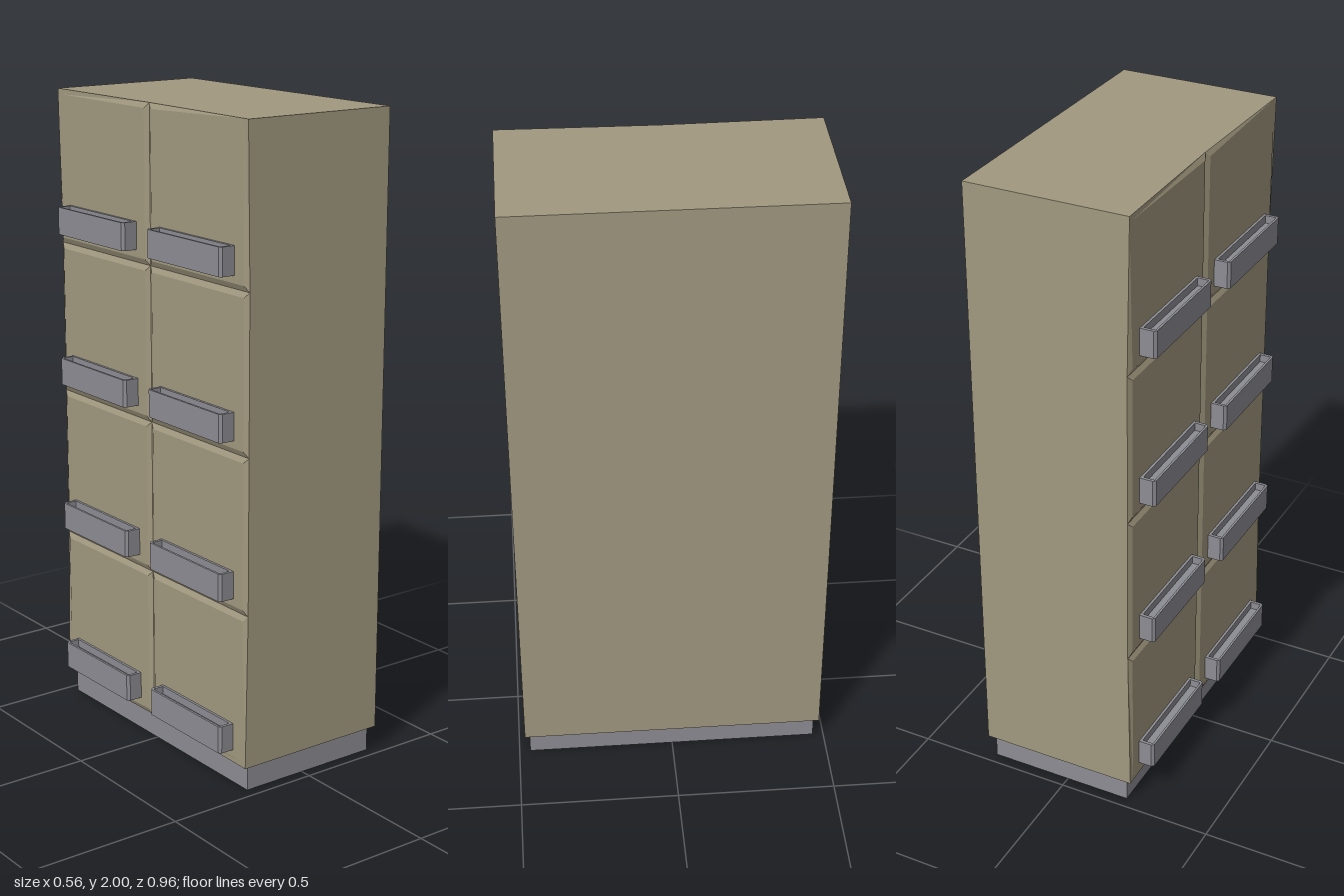
import * as THREE from 'three';

const FRONT = -0.23, BACK = 0.28, BOTTOM = 0.08, TOP = 2, HALF = 0.48;
const ROWS = 4, DIP = 0.008, INSET = 0.017;

// Drawer side lies at x = FRONT; its seams dip inwards everywhere but the four outer corners
function seamX(y, z) {
  const corner = Math.abs(z) > 0.47 && (y < BOTTOM + 0.01 || y > TOP - 0.01);
  return corner ? FRONT : FRONT + DIP;
}

// Raised drawer face with a sloping border down to the seams
function drawerGeometry(y0, y1, z0, z1) {
  const ring = (i, x) => [[y0 + i, z0 + i], [y0 + i, z1 - i], [y1 - i, z1 - i], [y1 - i, z0 + i]]
    .map(([y, z]) => [x ?? seamX(y, z), y, z]);
  const outer = ring(0), inner = ring(INSET, FRONT);
  const positions = [];
  const quad = (a, b, c, d) => positions.push(...a, ...b, ...c, ...a, ...c, ...d);
  quad(...inner);
  for (let i = 0; i < 4; i++) {
    const j = (i + 1) % 4;
    quad(outer[i], outer[j], inner[j], inner[i]);
  }
  const geometry = new THREE.BufferGeometry();
  geometry.setAttribute('position', new THREE.Float32BufferAttribute(positions, 3));
  geometry.computeVertexNormals();
  return geometry;
}

// Box shell without its drawer side, whose edges follow the seams
function cabinetGeometry() {
  const geometry = new THREE.BoxGeometry(BACK - FRONT, TOP - BOTTOM, HALF * 2, 1, ROWS, 2);
  geometry.translate((FRONT + BACK) / 2, (TOP + BOTTOM) / 2, 0);
  const p = geometry.attributes.position;
  for (let i = 0; i < p.count; i++) {
    if (p.getX(i) < 0) p.setX(i, seamX(p.getY(i), p.getZ(i)));
  }
  const side = geometry.groups[1];
  const index = Array.from(geometry.index.array);
  index.splice(side.start, side.count);
  geometry.setIndex(index);
  geometry.clearGroups();
  return geometry;
}

// Plan of a handle, extruded upwards: chamfered outer corners, optional pocket
function handleLayer(hasPocket, height) {
  const l = 0.18, c = 0.008;
  const plan = new THREE.Shape([
    [-0.228, -l], [-0.228, l], [-0.28 + c, l], [-0.28, l - c], [-0.28, -l + c], [-0.28 + c, -l],
  ].map(([x, z]) => new THREE.Vector2(x, z)));
  if (hasPocket) {
    plan.holes.push(new THREE.Path([
      [-0.273, -0.17], [-0.238, -0.17], [-0.238, 0.17], [-0.273, 0.17],
    ].map(([x, z]) => new THREE.Vector2(x, z))));
  }
  return new THREE.ExtrudeGeometry(plan, { depth: height, bevelEnabled: false }).rotateX(-Math.PI / 2);
}

export function createModel() {
  const tan = new THREE.MeshStandardMaterial({ color: 0xa1987f });
  const grey = new THREE.MeshStandardMaterial({ color: 0x8c8c93 });
  tan.name = 'tanPaint';
  grey.name = 'greyMetal';

  const model = new THREE.Group();
  model.name = 'drawerCabinet';
  const add = (parent, name, geometry, material, x = 0, y = 0, z = 0) => {
    const mesh = new THREE.Mesh(geometry, material);
    mesh.name = name;
    mesh.position.set(x, y, z);
    parent.add(mesh);
  };

  add(model, 'cabinet', cabinetGeometry(), tan);
  add(model, 'plinth', new THREE.BoxGeometry(0.47, BOTTOM, 0.93), grey, 0.025, BOTTOM / 2, 0);

  // Two columns of drawers, each with a pocketed handle low on its face
  const floor = handleLayer(false, 0.06), rim = handleLayer(true, 0.025);
  const rowHeight = (TOP - BOTTOM) / ROWS;
  for (let row = 0; row < ROWS; row++) {
    for (const column of [-1, 1]) {
      const y = BOTTOM + row * rowHeight;
      const drawer = new THREE.Group();
      drawer.name = 'drawer';
      const z0 = column < 0 ? -HALF : 0;
      add(drawer, 'drawerFront', drawerGeometry(y, y + rowHeight, z0, z0 + HALF), tan);
      add(drawer, 'handleBase', floor, grey, 0, y + 0.04, column * 0.24);
      add(drawer, 'handleRim', rim, grey, 0, y + 0.1, column * 0.24);
      model.add(drawer);
    }
  }
  return model;
}
